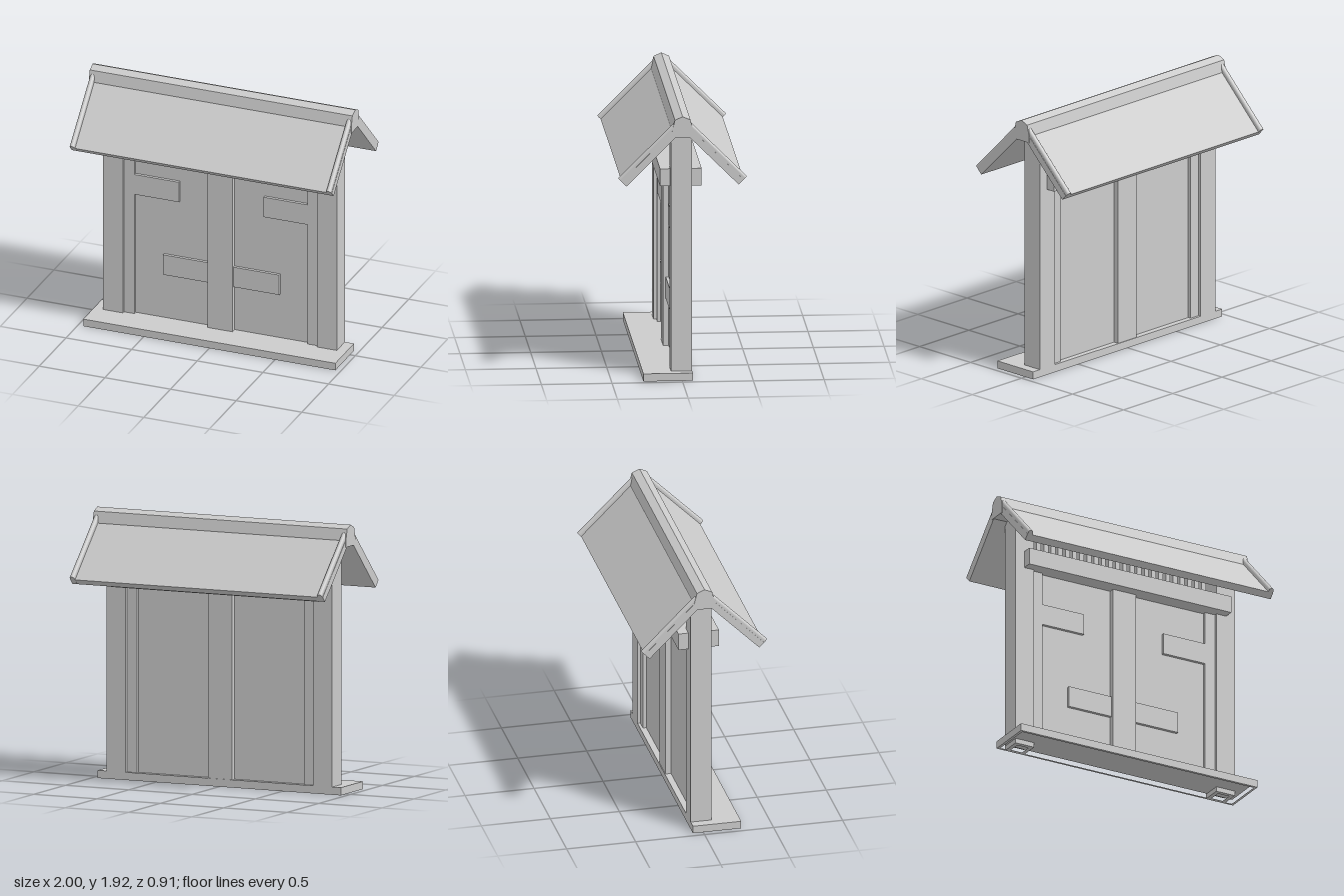
import * as THREE from 'three';

export function createModel() {
  const model = new THREE.Group();
  const mat = new THREE.MeshStandardMaterial({ color: 0xcccccc });

  function add(name, geo) {
    const mesh = new THREE.Mesh(geo, mat);
    mesh.name = name;
    model.add(mesh);
    return mesh;
  }
  // Box given by its limits on each axis
  function box(name, x0, x1, y0, y1, z0, z1) {
    const geo = new THREE.BoxGeometry(x1 - x0, y1 - y0, z1 - z0);
    geo.translate((x0 + x1) / 2, (y0 + y1) / 2, (z0 + z1) / 2);
    return add(name, geo);
  }
  // Open rectangular frame standing on y = 0
  function frame(name, x0, x1, z0, z1, height, wall) {
    const rect = (Type, i) => {
      const p = new Type();
      p.moveTo(x0 + i, -z0 - i);
      p.lineTo(x1 - i, -z0 - i);
      p.lineTo(x1 - i, -z1 + i);
      p.lineTo(x0 + i, -z1 + i);
      p.closePath();
      return p;
    };
    const shape = rect(THREE.Shape, 0);
    shape.holes.push(rect(THREE.Path, wall));
    const geo = new THREE.ExtrudeGeometry(shape, { depth: height, bevelEnabled: false });
    geo.rotateX(-Math.PI / 2);
    return add(name, geo);
  }
  // Closed [z, y] profile swept along x over the given half length
  function prism(name, points, half) {
    const shape = new THREE.Shape(points.map(([z, y]) => new THREE.Vector2(-z, y)));
    const geo = new THREE.ExtrudeGeometry(shape, { depth: half * 2, bevelEnabled: false });
    geo.translate(0, 0, -half);
    geo.rotateY(Math.PI / 2);
    return add(name, geo);
  }

  // Base: shallow tray, open underneath
  frame('baseRim', -0.96, 0.96, -0.075, 0.275, 0.055, 0.02);
  box('baseTop', -0.945, 0.945, 0.035, 0.0545, -0.06, 0.26);

  // Posts with hollow feet, and the trim beside them
  for (const s of [-1, 1]) {
    const span = (a, b) => (s > 0 ? [a, b] : [-b, -a]);
    box('post', ...span(0.74, 0.89), 0.04, 1.77, -0.075, 0.075);
    frame('postFoot', ...span(0.74, 0.89), -0.075, 0.075, 0.045, 0.03);
    box('sideTrim', ...span(0.66, 0.74), 0.05, 1.39, -0.055, 0.055);
    // Small boards on the front of the panel
    box('upperBoard', ...span(0.322, 0.66), 0.985, 1.14, 0.02, 0.052);
    box('lowerBoard', ...span(0.09, 0.442), 0.397, 0.552, 0.02, 0.052);
  }

  // Wall panel, middle upright and cross beam
  box('panel', -0.67, 0.67, 0.05, 1.39, -0.03, 0.03);
  box('middleUpright', -0.097, 0.092, 0.05, 1.39, -0.07, 0.07);
  box('crossBeam', -0.82, 0.82, 1.38, 1.505, -0.147, 0.147);

  // Row of slats between beam and ridge
  const slats = 24;
  for (let i = 0; i < slats; i++) {
    const x = -0.67 + (1.34 * i) / (slats - 1);
    box('slat', x - 0.018, x + 0.018, 1.5, 1.78, -0.02, 0.02);
  }

  // Ridge cap
  prism('ridgeCap', [
    [0, 1.922], [0.055, 1.898], [0.074, 1.82], [0.074, 1.77],
    [-0.074, 1.77], [-0.074, 1.82], [-0.055, 1.898],
  ], 1);

  // Sloping roof slabs with a rounded rail at each end
  for (const s of [-1, 1]) {
    const slab = [[0.04, 1.85], [0.432, 1.458], [0.397, 1.423], [0.04, 1.78]];
    prism('roofSlab', slab.map(([z, y]) => [z * s, y]), 0.997);

    for (const e of [-1, 1]) {
      const rail = new THREE.Shape();
      rail.moveTo(-0.018, -0.06);
      rail.lineTo(0.018, -0.06);
      rail.lineTo(0.018, 0);
      rail.absarc(0, 0, 0.018, 0, Math.PI, false);
      rail.closePath();
      const length = 0.56;
      const geo = new THREE.ExtrudeGeometry(rail, { depth: length, bevelEnabled: false, curveSegments: 8 });
      geo.translate(0, 0, -length / 2);
      // Tilt down to the eave, then turn to the matching side
      geo.rotateX(Math.PI / 4);
      geo.translate(0, 1.665, 0.244);
      if (s < 0) geo.rotateY(Math.PI);
      geo.translate(e * 0.977, 0, 0);
      add('roofRail', geo);
    }
  }

  return model;
}
